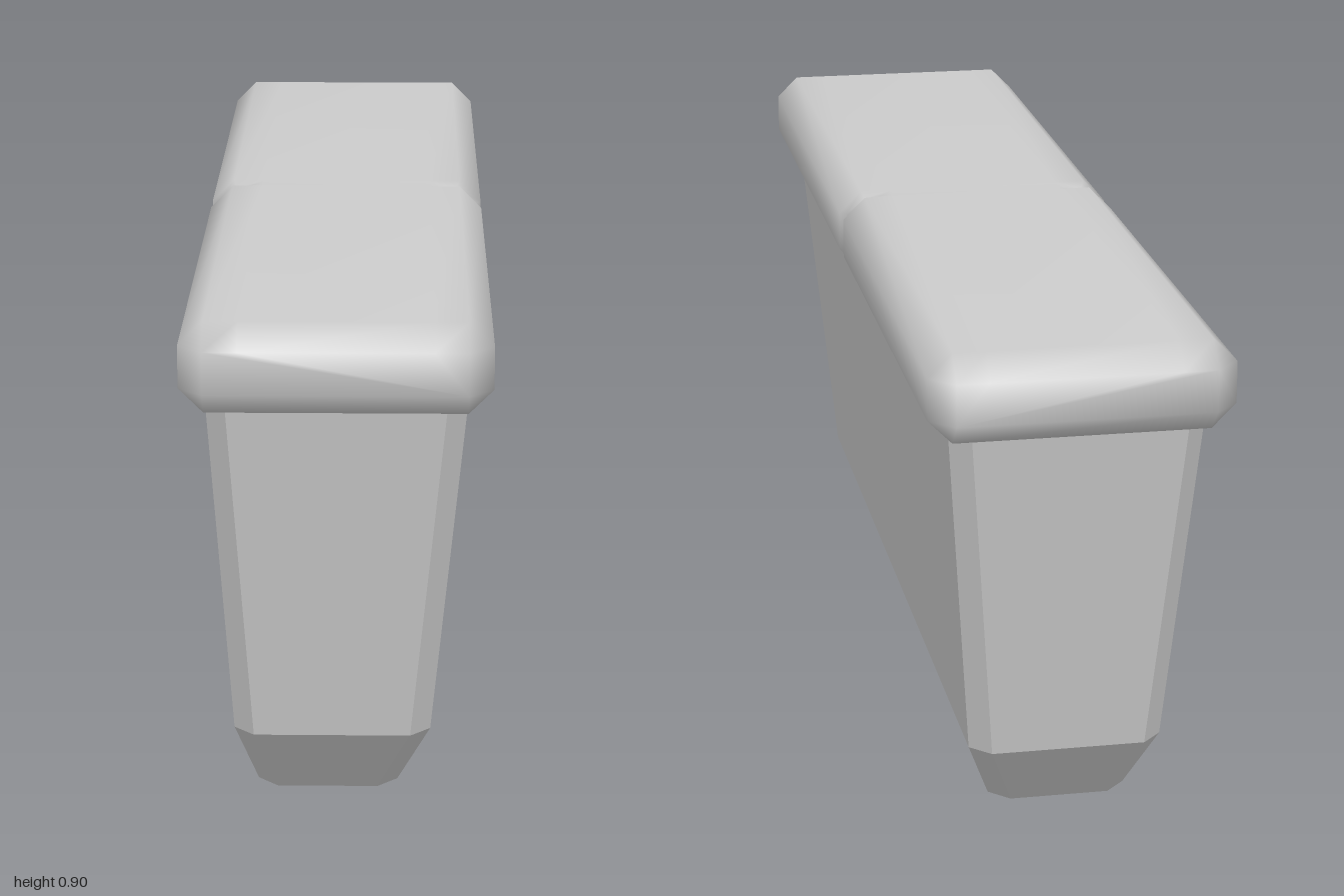
import * as THREE from 'three';
import { mergeVertices } from 'three/addons/utils/BufferGeometryUtils.js';

// Skins closed rings of points (counterclockwise about the loft direction) and caps both ends
function loft(rings) {
  const n = rings[0].length;
  const index = [];
  for (let i = 0; i < rings.length - 1; i++) {
    for (let j = 0; j < n; j++) {
      const a = i * n + j, b = i * n + (j + 1) % n;
      index.push(a, b, b + n, a, b + n, a + n);
    }
  }
  const last = (rings.length - 1) * n;
  for (let j = 1; j < n - 1; j++) {
    index.push(0, j + 1, j, last, last + j, last + j + 1);
  }
  const geometry = new THREE.BufferGeometry();
  geometry.setAttribute('position', new THREE.Float32BufferAttribute(rings.flat(2), 3));
  geometry.setIndex(index);
  return mergeVertices(geometry, 1e-4);
}

// Horizontal rectangle with cut corners, used for the tapered body
function bodyRing(y, left, right, z, cut) {
  return [
    [left + cut, y, z], [right - cut, y, z],
    [right, y, z - cut], [right, y, -z + cut],
    [right - cut, y, -z], [left + cut, y, -z],
    [left, y, -z + cut], [left, y, z - cut],
  ];
}

// Bevelled lid section at z; bevel 0 gives the inset end, dip sinks the side groove
function lidRing(z, bevel, dip) {
  const half = [
    [0.21, 0.79 - bevel],
    [0.21 + bevel - dip, 0.79],
    [0.21 + bevel - dip, 0.86],
    [0.21 - dip / 2, 0.86 + bevel - dip],
    [0.155, 0.86 + bevel],
  ];
  const mirrored = half.map(([x, y]) => [-x, y]).reverse();
  return [...half, ...mirrored].map(([x, y]) => [x, y, z]);
}

export function createModel() {
  const group = new THREE.Group();

  // Faceted body, narrowing downward with a chamfered foot
  const bodyGeometry = loft([
    bodyRing(0, -0.14, 0.10, 0.71, 0.034),
    bodyRing(0.145, -0.175, 0.155, 0.83, 0.034),
    bodyRing(0.755, -0.21, 0.21, 0.95, 0.033),
  ]).toNonIndexed();
  bodyGeometry.computeVertexNormals();
  const body = new THREE.Mesh(bodyGeometry,
    new THREE.MeshStandardMaterial({ color: 0xcccccc, flatShading: true }));
  body.name = 'body';

  // Softly bevelled lid with a shallow groove across each long edge
  const sections = [
    [-1, 0, 0], [-0.96, 0.04, 0],
    [-0.026, 0.04, 0], [-0.016, 0.04, 0.012],
    [0.016, 0.04, 0.012], [0.022, 0.04, 0],
    [0.96, 0.04, 0], [1, 0, 0],
  ];
  const lidGeometry = loft(sections.map((s) => lidRing(...s)));
  lidGeometry.computeVertexNormals();
  const lid = new THREE.Mesh(lidGeometry,
    new THREE.MeshStandardMaterial({ color: 0xcccccc }));
  lid.name = 'lid';

  group.add(body, lid);
  return group;
}
